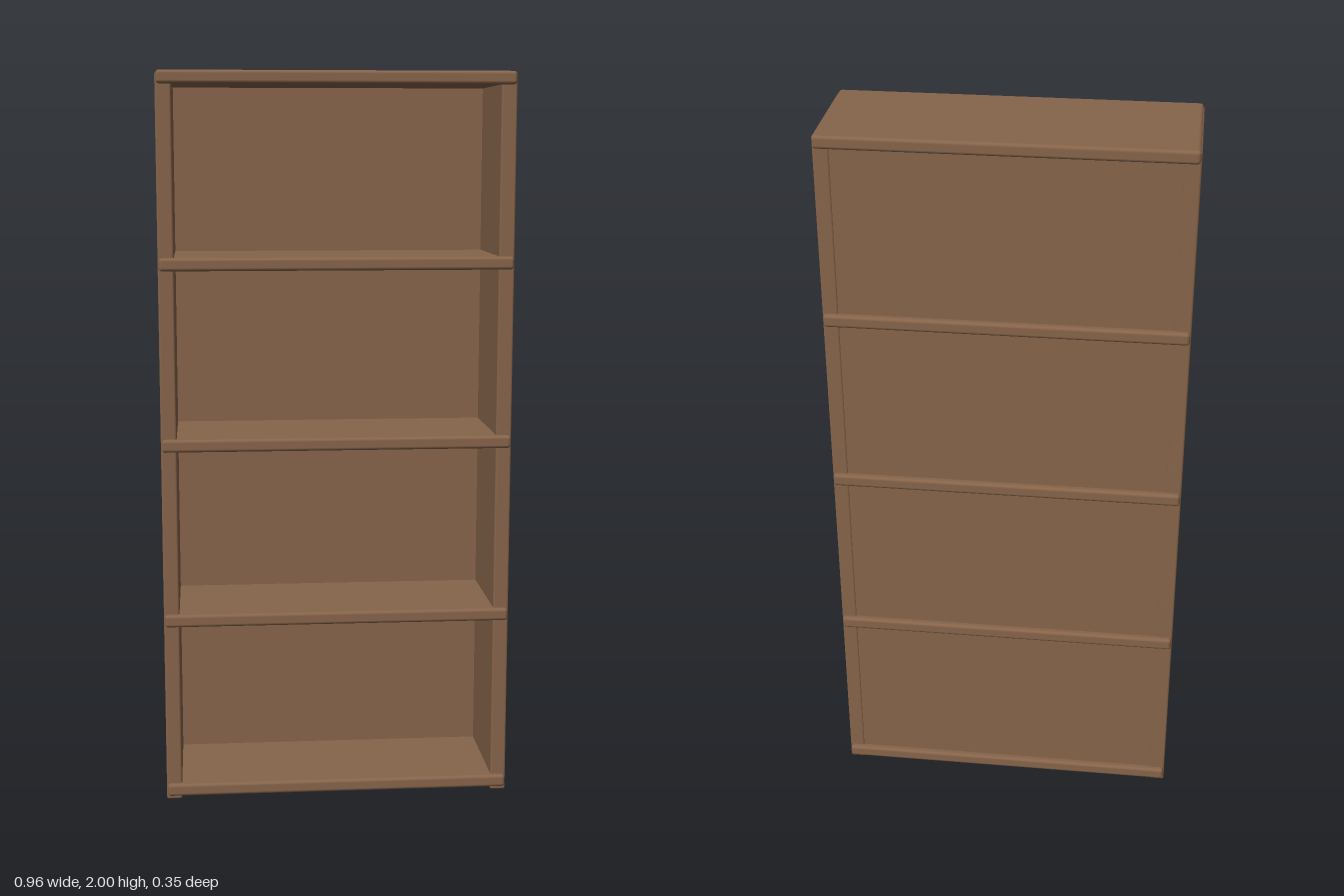
import * as THREE from 'three';
import { RoundedBoxGeometry } from 'three/addons/geometries/RoundedBoxGeometry.js';

export function createModel() {
  const group = new THREE.Group();
  group.name = 'bookcase';
  const wood = new THREE.MeshStandardMaterial({ color: 0x86644a });
  wood.name = 'brown wood';

  // Board with softened edges, given by its size and centre
  function board(name, w, h, d, x, y, z, radius = 0.008) {
    const mesh = new THREE.Mesh(new RoundedBoxGeometry(w, h, d, 2, radius), wood);
    mesh.name = name;
    mesh.position.set(x, y, z);
    group.add(mesh);
  }

  // Upright sides
  for (const s of [1, -1]) {
    board(s > 0 ? 'leftSide' : 'rightSide', 0.043, 1.995, 0.326, s * 0.4575, 0.9975, 0, 0.006);
  }

  // Back panel set between the sides
  board('backPanel', 0.92, 1.99, 0.02, 0, 0.996, -0.15, 0.003);

  // Evenly spaced shelves, projecting at front and back
  const names = ['bottomShelf', 'lowerShelf', 'middleShelf', 'upperShelf', 'topBoard'];
  names.forEach((name, i) => {
    board(name, 0.952, 0.035, 0.354, 0, 0.03 + i * 0.4882, 0, 0.009);
  });

  return group;
}
